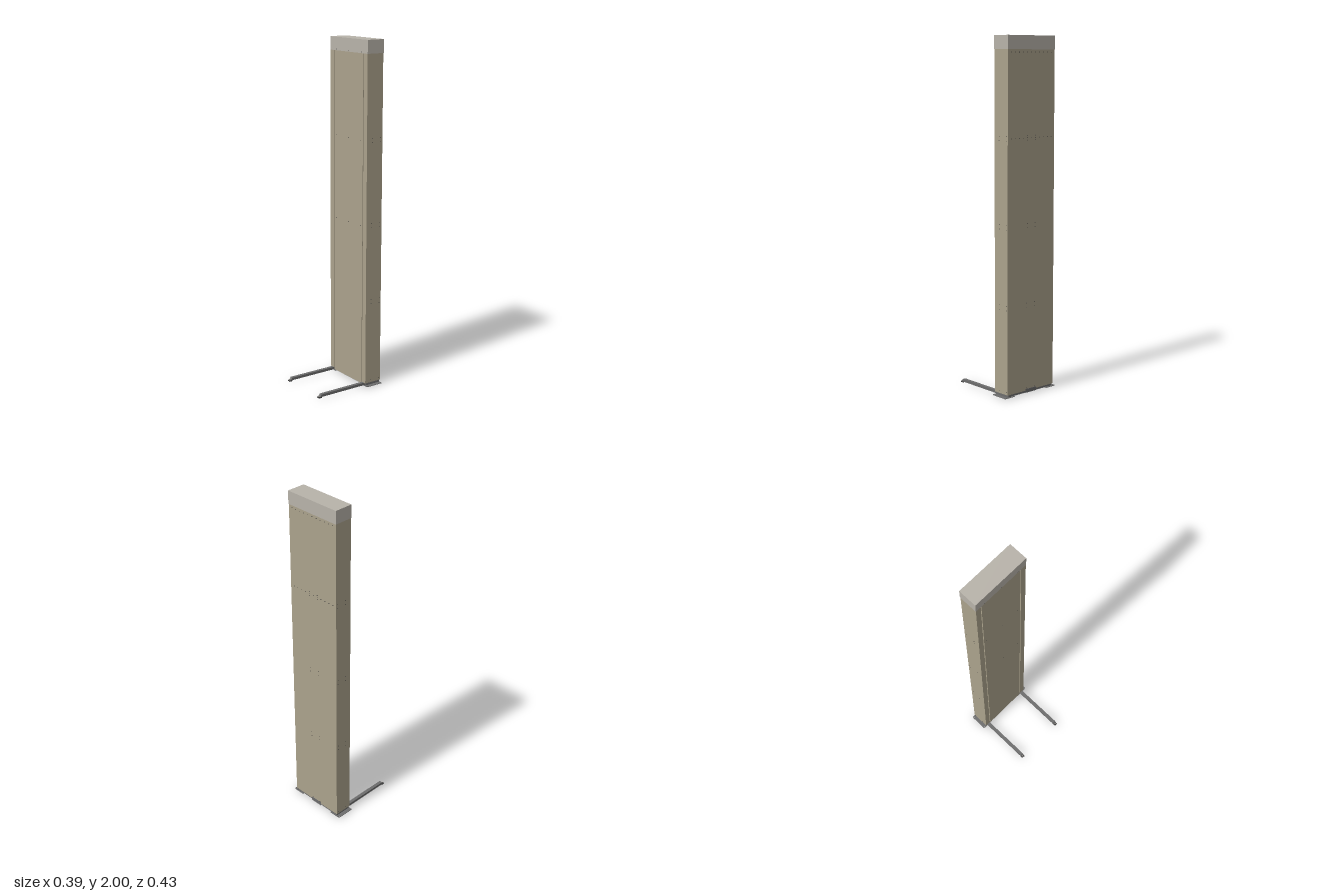
import * as THREE from 'three';

const mat = (color) => new THREE.MeshStandardMaterial({ color, side: THREE.DoubleSide });
const TAN = mat(0xaba28c), CAP = mat(0xb8b3aa), DARK = mat(0x6c6c6c), STEEL = mat(0xa6a8aa), BLACK = mat(0x3a3a3a);
const X = 0.174, FRONT = -0.105, BACK = -0.212, T = 0.002;

export function createModel() {
  const model = new THREE.Group();

  const add = (name, geo, material, x = 0, y = 0, z = 0, parent = model) => {
    const m = new THREE.Mesh(geo, material);
    m.name = name;
    m.position.set(x, y, z);
    parent.add(m);
    return m;
  };
  const box = (name, material, x0, x1, y0, y1, z0, z1, parent) =>
    add(name, new THREE.BoxGeometry(x1 - x0, y1 - y0, z1 - z0), material,
      (x0 + x1) / 2, (y0 + y1) / 2, (z0 + z1) / 2, parent);

  // Extrude a plan outline of [x, z] points upwards from y0 to y1, with round holes
  const plan = (name, material, pts, y0, y1, holes = [], r = 0.003, parent = model) => {
    const shape = new THREE.Shape(pts.map(([x, z]) => new THREE.Vector2(x, -z)));
    for (const [x, z] of holes) {
      const h = new THREE.Path();
      h.absarc(x, -z, r, 0, Math.PI * 2, true);
      shape.holes.push(h);
    }
    const geo = new THREE.ExtrudeGeometry(shape, { depth: y1 - y0, bevelEnabled: false, curveSegments: 10 });
    geo.rotateX(-Math.PI / 2);
    return add(name, geo, material, 0, y0, 0, parent);
  };
  const mirrored = (half) => [...half, ...half.map(([x, z]) => [-x, z]).reverse()];

  // Folded sheet body: back, two sides, and front lips that return inwards
  plan('columnShell', TAN, mirrored([
    [X, BACK], [X, FRONT], [0.141, FRONT], [0.141, FRONT - 0.02], [0.141 + T, FRONT - 0.02],
    [0.141 + T, FRONT - T], [X - T, FRONT - T], [X - T, BACK + T],
  ]).slice(0), 0.02, 1.93);

  // Front panel with folded edges, separated from the lips by a narrow gap
  plan('frontPanel', TAN, mirrored([
    [0.136, FRONT], [0.136, FRONT - 0.02], [0.136 - T, FRONT - 0.02], [0.136 - T, FRONT - T],
  ]), 0.01, 1.925);
  for (const s of [-1, 1])
    add('panelGapStrip', new THREE.BoxGeometry(0.008, 1.9, T), BLACK, s * 0.1385, 0.975, FRONT - 0.021);

  // Cap: top sheet and a skirt around the column head
  const cap = new THREE.Group();
  cap.name = 'cap';
  model.add(cap);
  const cx = X + 0.0015, cf = FRONT + 0.001, cb = BACK - 0.002;
  box('capTop', CAP, -cx, cx, 2 - T, 2, cb, cf, cap);
  box('capFront', CAP, -cx, cx, 1.925, 2 - T, cf - T, cf, cap);
  box('capBack', CAP, -cx, cx, 1.925, 2 - T, cb, cb + T, cap);
  for (const s of [-1, 1])
    add('capSide', new THREE.BoxGeometry(T, 0.073, cf - cb - 2 * T), CAP,
      s * (cx - T / 2), 1.9615, (cf + cb) / 2, cap);

  // Small fasteners on the front, sides and back
  const rivetGeo = new THREE.CylinderGeometry(0.0022, 0.0022, 0.002, 8);
  const rivet = (x, y, z, axis) => {
    const m = add('rivet', rivetGeo, BLACK, x, y, z);
    if (axis === 'z') m.rotation.x = Math.PI / 2;
    else m.rotation.z = Math.PI / 2;
  };
  for (const y of [1.931, 1.445, 0.957])
    for (const x of [-0.118, 0, 0.118]) rivet(x, y, FRONT + (y > 1.9 ? 0.001 : 0), 'z');
  for (const y of [1.46, 1.435, 0.975, 0.95, 0.525, 0.5, 0.035]) {
    for (const s of [-1, 1]) for (const z of [-0.142, -0.2]) rivet(s * X, y, z, 'x');
    for (const x of [-0.03, 0.03]) rivet(x, y, BACK, 'z');
  }
  for (const y of [1.91, 1.447])
    for (let i = -5; i <= 5; i++) rivet(i * 0.03, y, BACK, 'z');

  // Base tray between the two floor brackets
  box('baseTray', STEEL, -0.125, 0.125, 0.006, 0.009, BACK + 0.006, FRONT - 0.004);
  box('baseRailFront', DARK, -0.165, 0.165, 0.009, 0.022, FRONT - 0.016, FRONT - 0.006);
  box('baseRailBack', DARK, -0.165, 0.165, 0.009, 0.022, BACK + 0.004, BACK + 0.014);
  box('backTab', DARK, -0.04, 0.04, 0.008, 0.03, BACK - 0.002, BACK);

  for (const s of [-1, 1]) {
    const side = new THREE.Group();
    side.name = s > 0 ? 'leftFoot' : 'rightFoot';
    model.add(side);

    // Floor bracket with bolt holes and an upright flange
    const c = 0.004, x0 = 0.12, x1 = 0.193, z0 = -0.213, z1 = -0.104;
    plan('floorPlate', DARK,
      [[x0, z1], [x1 - c, z1], [x1, z1 - c], [x1, z0 + c], [x1 - c, z0], [x0, z0]].map(([x, z]) => [s * x, z]),
      0.003, 0.006, [[s * 0.188, -0.206], [s * 0.188, -0.111]], 0.003, side);
    add('bracketFlange', new THREE.BoxGeometry(0.003, 0.04, 0.1), DARK, s * 0.169, 0.026, -0.159, side);

    // Outrigger leg, sloping down to its toe
    const profile = new THREE.Shape([[-0.205, 0.006], [0.206, 0.006], [0.194, 0.021], [-0.205, 0.021]]
      .map(([z, y]) => new THREE.Vector2(z, y)));
    const legGeo = new THREE.ExtrudeGeometry(profile, { depth: 0.02, bevelEnabled: false });
    legGeo.rotateY(-Math.PI / 2);
    add('leg', legGeo, DARK, s * 0.152 + 0.01, 0, 0, side);

    // Toe pad with a levelling bolt
    box('toePad', BLACK, s * 0.152 - 0.0095, s * 0.152 + 0.0095, 0, 0.006, 0.193, 0.213, side);
    add('levellingBolt', new THREE.CylinderGeometry(0.003, 0.003, 0.012, 10), CAP, s * 0.152, 0.0085, 0.206, side);
    add('rearPad', new THREE.CylinderGeometry(0.008, 0.008, 0.003, 12), BLACK, s * 0.152, 0.0015, -0.16, side);
  }
  return model;
}
